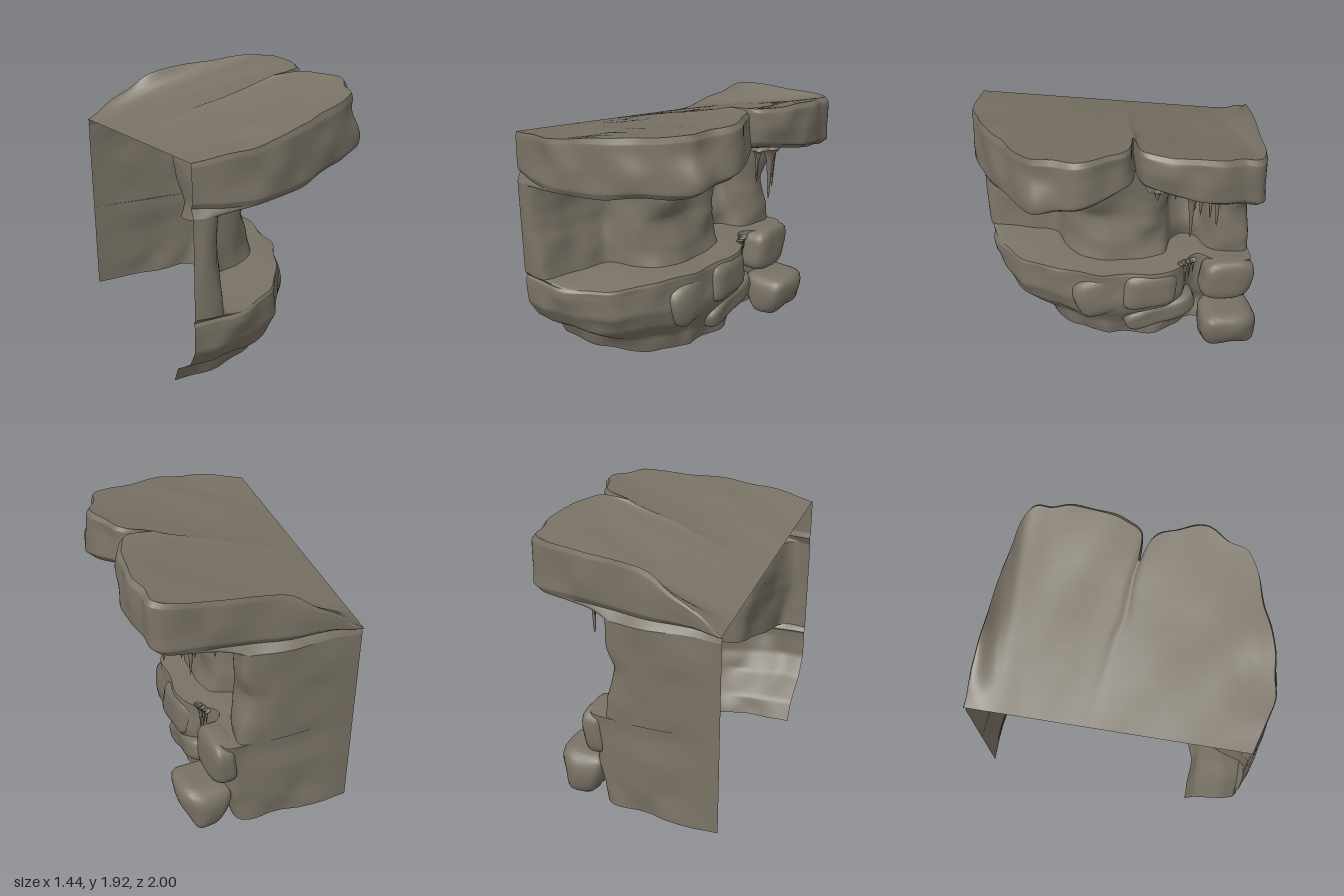
import * as THREE from 'three';

const BACK = -0.73;

// Smooth seeded value noise, -1..1
function hash(i, j, k) {
  let h = (i * 374761393 + j * 668265263 + k * 1274126177) | 0;
  h = Math.imul(h ^ (h >>> 13), 1274126177);
  return ((h ^ (h >>> 16)) >>> 0) / 2147483648 - 1;
}
function noise(x, y, z) {
  const c = [x, y, z].map(Math.floor);
  const f = [x - c[0], y - c[1], z - c[2]].map((t) => t * t * (3 - 2 * t));
  let sum = 0;
  for (let n = 0; n < 8; n++) {
    const b = [n & 1, (n >> 1) & 1, n >> 2];
    const w = b.reduce((a, bit, i) => a * (bit ? f[i] : 1 - f[i]), 1);
    sum += w * hash(c[0] + b[0], c[1] + b[1], c[2] + b[2]);
  }
  return sum;
}

// Rocky displacement that fades out at the flat rear cut
function roughen(p) {
  const fade = 0.04 * Math.min(1, Math.max(0, (p.x - BACK) * 5));
  const { x, y, z } = p;
  p.x += fade * noise(x * 5, y * 5, z * 5);
  p.y += fade * 0.3 * noise(x * 4 + 20, y * 4, z * 4);
  p.z += fade * 0.5 * noise(x * 5, y * 5 + 40, z * 5);
  p.y = Math.max(p.y, 0);
  p.z = Math.max(p.z, -1);
}

// Outlines run from the front rear corner around +x to the other rear corner, as [x, z]
const ROOF = [[-0.73, 0.92], [-0.5, 0.97], [-0.3, 0.99], [0.05, 0.92], [0.3, 0.81], [0.5, 0.72], [0.61, 0.64],
  [0.64, 0.5], [0.71, 0.37], [0.66, 0.2], [0.55, 0.02], [0.4, -0.03], [0.56, -0.06], [0.64, -0.2], [0.72, -0.4],
  [0.7, -0.55], [0.65, -0.7], [0.63, -0.84], [0.3, -0.9], [-0.2, -0.96], [-0.73, -1]];
const RECESS = [[-0.73, 0.93], [-0.65, 0.95], [-0.58, 0.93], [-0.53, 0.82], [-0.48, 0.67], [-0.43, 0.52],
  [-0.36, 0.43], [-0.2, 0.38], [-0.05, 0.3], [0.03, 0.15], [0.05, 0], [0.05, -0.2], [0, -0.33], [-0.15, -0.4],
  [-0.2, -0.5], [-0.15, -0.6], [0, -0.67], [0.06, -0.8], [0.05, -0.94], [-0.1, -0.98], [-0.73, -0.99]];
const LEDGE = [[-0.73, 0.92], [-0.55, 0.92], [-0.4, 0.9], [-0.25, 0.86], [-0.1, 0.78], [0.02, 0.66], [0.1, 0.52],
  [0.17, 0.4], [0.2, 0.3], [0.24, 0.18], [0.25, 0.08], [0.26, -0.05], [0.28, -0.2], [0.27, -0.33], [0.22, -0.42],
  [0.12, -0.5], [0.1, -0.58], [0.2, -0.7], [0.2, -0.93], [0, -0.97], [-0.73, -0.99]];

// Heights of the wall head, the roof's lower rim and the roof's upper rim
const archY = (z) => 1.38 + 0.19 * Math.exp(-((z / 0.24) ** 2));
const rimY = (x, z) => 1.42 + 0.23 * (1 - Math.abs(z));
const topY = (x, z) => 1.73 + 0.135 * (x - BACK) + Math.min(z, 0) * 0.08 * (x - BACK)
  - (z < 0 ? 0.3 * Math.max(0, (-0.15 - x) / 0.58) : 0);

// A row is an outline mapped to 3D points
const row = (outline, fn) => outline.map(([x, z]) => new THREE.Vector3(...fn(x, z)));

// Surface skinned through matching rows
function loft(name, rows, mat, steps = 6, samples = 140) {
  const sampled = rows.map((r) => new THREE.CatmullRomCurve3(r, false, 'centripetal').getPoints(samples));
  const pos = [], idx = [], total = (rows.length - 1) * steps;
  for (let v = 0; v <= total; v++) {
    const k = Math.min(Math.floor(v / steps), rows.length - 2);
    for (let u = 0; u <= samples; u++) {
      const p = sampled[k][u].clone().lerp(sampled[k + 1][u], v / steps - k);
      p.x = Math.max(p.x, BACK);
      roughen(p);
      pos.push(p.x, p.y, p.z);
      if (v < total && u < samples) {
        const a = v * (samples + 1) + u, b = a + samples + 1;
        idx.push(a, a + 1, b, b, a + 1, b + 1);
      }
    }
  }
  const g = new THREE.BufferGeometry();
  g.setAttribute('position', new THREE.Float32BufferAttribute(pos, 3));
  g.setIndex(idx);
  g.computeVertexNormals();
  const mesh = new THREE.Mesh(g, mat);
  mesh.name = name;
  return mesh;
}

// Rounded boulder: a sphere pushed towards a box, narrower at its foot
function boulder(name, [x, y, z], [sx, sy, sz], tilt, taper, mat) {
  const g = new THREE.SphereGeometry(1, 32, 24);
  const p = new THREE.Vector3(), a = g.attributes.position;
  const size = new THREE.Vector3(sx, sy, sz), axis = new THREE.Vector3(1, 0, 0);
  for (let i = 0; i < a.count; i++) {
    p.fromBufferAttribute(a, i);
    p.divideScalar((Math.abs(p.x) ** 4 + Math.abs(p.y) ** 4 + Math.abs(p.z) ** 4) ** 0.25);
    p.x *= 1 - taper * (1 - p.y) / 2;
    p.multiply(size).applyAxisAngle(axis, tilt);
    p.x += x;
    p.y += y;
    p.z += z;
    roughen(p);
    a.setXYZ(i, p.x, p.y, p.z);
  }
  g.computeVertexNormals();
  const mesh = new THREE.Mesh(g, mat);
  mesh.name = name;
  return mesh;
}

export function createModel() {
  const group = new THREE.Group();
  const rock = new THREE.MeshStandardMaterial({ color: 0x797265, side: THREE.DoubleSide });
  rock.name = 'grey brown rock';

  // Lower rock, narrowing towards its foot at the front
  const lowerRow = (y, s) => row(LEDGE, (x, z) => [
    BACK + (x - BACK) * (0.88 + 0.12 * s), y - (z > 0.5 ? 0.06 * y * (z - 0.5) * 2 : 0),
    z > 0 ? z * (0.62 + 0.38 * s) : z]);
  const ledgeRow = lowerRow(0.68, 0.97);
  group.add(loft('lowerRock', [lowerRow(0.01, 0), lowerRow(0.15, 0.18), lowerRow(0.3, 0.75),
    lowerRow(0.45, 0.99), lowerRow(0.6, 1.02), lowerRow(0.66, 1.01), ledgeRow], rock));

  // Ledge floor and the recessed wall above it
  const wallRow = (y, out) => row(RECESS, (x, z) => [x + (x > BACK ? out : 0), y ?? archY(z), z]);
  const wallFoot = wallRow(0.68, 0.03), wallHead = wallRow(null, 0.02);
  group.add(loft('ledgeFloor', [ledgeRow, wallFoot], rock));
  group.add(loft('recessWall', [wallFoot, wallRow(0.82, 0.02), wallRow(1.03, -0.02),
    wallRow(1.2, 0), wallHead], rock));

  // Overhanging roof: underside, rim and a top that falls to the rear cut
  const scaled = (s, fy) => row(ROOF, (x, z) => [BACK + (x - BACK) * s, fy(x, z), z * (0.5 + 0.5 * s)]);
  const mixY = (t) => (x, z) => rimY(x, z) * (1 - t) + topY(x, z) * t;
  const rimBottom = scaled(0.96, mixY(0)), rimTop = scaled(0.97, mixY(1));
  group.add(loft('roofUnderside', [wallHead, rimBottom], rock));
  group.add(loft('roofRim', [rimBottom, scaled(1, mixY(0.12)), scaled(1, mixY(0.5)),
    scaled(0.99, mixY(0.9)), rimTop], rock));
  const last = rimTop.length - 1;
  const rear = rimTop.map((p, i) => rimTop[0].clone().lerp(rimTop[last], i / last));
  group.add(loft('roofTop', [rimTop, rear], rock, 8));

  // Boulders stacked at the far end and bulging from the lower rock
  const boulders = [
    ['footBoulder', [0.3, 0.17, -0.77], [0.19, 0.17, 0.2], 0, 0.45],
    ['middleBoulder', [0.19, 0.52, -0.78], [0.1, 0.165, 0.2], 0, 0],
    ['ledgeBulge', [0.2, 0.51, -0.18], [0.1, 0.16, 0.2], 0, 0],
    ['frontBulge', [0.14, 0.46, 0.17], [0.12, 0.18, 0.2], 0.3, 0.2],
    ['lowSlab', [0.15, 0.25, -0.28], [0.12, 0.1, 0.28], 0.3, 0],
  ];
  boulders.forEach(([name, centre, size, tilt, taper]) =>
    group.add(boulder(name, centre, size, tilt, taper, rock)));

  // Stalactites: x, top y, z, length, radius
  const stalactites = [
    [0.43, 1.5, -0.42, 0.4, 0.045], [0.32, 1.47, -0.63, 0.37, 0.045], [0.25, 1.47, -0.53, 0.32, 0.04],
    [0.28, 1.47, -0.48, 0.26, 0.035], [0.36, 1.48, -0.57, 0.28, 0.035], [0.15, 1.45, -0.37, 0.22, 0.03],
    [0.08, 1.42, -0.6, 0.14, 0.025], [0.5, 1.58, -0.17, 0.1, 0.045], [0.22, 1.42, -0.8, 0.1, 0.025],
    [-0.04, 1.44, 0.41, 0.16, 0.03], [-0.1, 1.42, 0.45, 0.09, 0.02],
    [0.19, 0.68, -0.43, 0.13, 0.018], [0.18, 0.68, -0.46, 0.19, 0.02], [0.17, 0.68, -0.49, 0.15, 0.018],
    [0.16, 0.68, -0.52, 0.11, 0.018],
  ];
  const profile = [[0, 0], [0.18, 0.12], [0.35, 0.5], [0.55, 0.75], [1, 0.92], [1.7, 1.02]];
  for (const [x, y, z, len, r] of stalactites) {
    const pts = profile.map(([a, b]) => new THREE.Vector2(a * r, (b - 1) * len));
    const m = new THREE.Mesh(new THREE.LatheGeometry(pts, 10), rock);
    m.position.set(x, y, z);
    m.name = 'stalactite';
    group.add(m);
  }
  return group;
}
